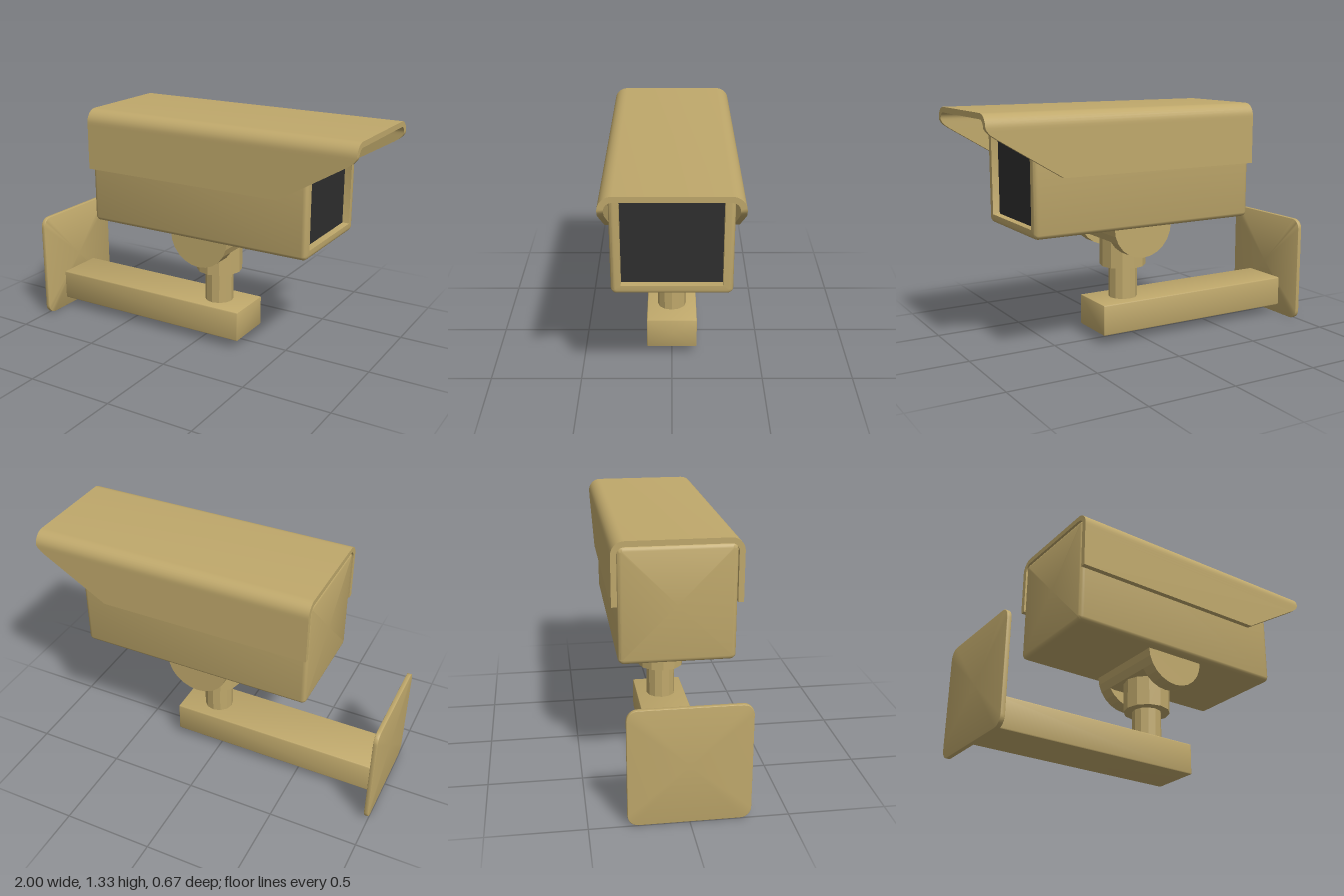
import * as THREE from 'three';
import { toCreasedNormals } from 'three/addons/utils/BufferGeometryUtils.js';

// Collects quads into a geometry whose gentle bends are smooth and hard edges sharp
function fromQuads(quads) {
  const pos = [];
  for (const [a, b, c, d] of quads) pos.push(...a, ...b, ...c, ...a, ...c, ...d);
  const g = new THREE.BufferGeometry();
  g.setAttribute('position', new THREE.Float32BufferAttribute(pos, 3));
  return toCreasedNormals(g, 0.6);
}

// Rounded rectangle ring in the plane x
function ring(x, cy, hy, hz, r) {
  const pts = [], seg = 6;
  for (let c = 0; c < 4; c++) {
    const sy = c === 0 || c === 3 ? 1 : -1, sz = c < 2 ? 1 : -1;
    for (let i = 0; i <= seg; i++) {
      const a = (c + i / seg) * Math.PI / 2;
      pts.push([x, cy + sy * (hy - r) + r * Math.cos(a), sz * (hz - r) + r * Math.sin(a)]);
    }
  }
  return pts;
}

function loft(rings) {
  const quads = [];
  for (let j = 0; j < rings.length - 1; j++) {
    const b = rings[j], f = rings[j + 1], n = b.length;
    for (let k = 0; k < n; k++) {
      const m = (k + 1) % n;
      quads.push([b[k], b[m], f[m], f[k]]);
    }
  }
  return fromQuads(quads);
}

// Block along x with rounded corners r and end bevels e; an optional recess is cut into the front
function block(x0, x1, y0, y1, hz, r, e, recess) {
  const cy = (y0 + y1) / 2, hy = (y1 - y0) / 2, steps = 4, rings = [ring(x0, cy, 0, 0, 0)];
  const at = (x, inset) => ring(x, cy, hy - inset, hz - inset, r - inset);
  for (let i = 0; i <= steps; i++) {
    const a = i / steps * Math.PI / 2;
    rings.push(at(x0 + e * (1 - Math.cos(a)), e * (1 - Math.sin(a))));
  }
  for (let i = steps; i >= 0; i--) {
    const a = i / steps * Math.PI / 2;
    rings.push(at(x1 - e * (1 - Math.cos(a)), e * (1 - Math.sin(a))));
  }
  let xe = x1;
  if (recess) {
    xe = x1 - recess.depth;
    rings.push(ring(x1, cy, recess.hy, recess.hz, 0.001), ring(xe, cy, recess.hy, recess.hz, 0.001));
  }
  rings.push(ring(xe, cy, 0, 0, 0));
  return loft(rings);
}

// Folded sunshade: paired outer and inner profile points, front edge cut back by height
function hoodGeometry() {
  const back = -0.59, top = 1.325, hz = 0.335, t = 0.03, r = 0.07;
  const cut = [[0.99, 0.59], [1.205, 0.95], [1.222, 0.975], [1.24, 0.992], [1.255, 1]];
  const half = cut.map(([y, x]) => ({ o: [y, hz], i: [y, hz - t], x }));
  for (let k = 1; k <= 8; k++) {
    const a = k / 8 * Math.PI / 2, s = Math.sin(a), c = Math.cos(a);
    const p = q => [top - r + q * s, hz - r + q * c];
    half.push({ o: p(r), i: p(r - t), x: 1 });
  }
  const flip = ([y, z]) => [y, -z];
  const path = [...half, ...half.slice().reverse().map(p => ({ o: flip(p.o), i: flip(p.i), x: p.x }))];
  const pts = path.map(p => ({
    ob: [back, ...p.o], of: [p.x, ...p.o], ib: [back, ...p.i], if: [p.x, ...p.i],
  }));
  const quads = [];
  for (let k = 0; k < pts.length - 1; k++) {
    const a = pts[k], b = pts[k + 1];
    quads.push([a.ob, a.of, b.of, b.ob], [a.ib, b.ib, b.if, a.if]);
    quads.push([a.of, a.if, b.if, b.of], [a.ob, b.ob, b.ib, a.ib]);
  }
  const s = pts[0], e = pts[pts.length - 1];
  quads.push([s.ob, s.ib, s.if, s.of], [e.ob, e.of, e.if, e.ib]);
  return fromQuads(quads);
}

// Half disc hanging below its centre, optionally trimmed flat at a floor
function halfDisc(r, depth, floor = -r) {
  const pts = [];
  for (let i = 0; i <= 12; i++) {
    const a = Math.PI * (1 + i / 12);
    pts.push(new THREE.Vector2(r * Math.cos(a), Math.max(r * Math.sin(a), floor)));
  }
  const g = new THREE.ExtrudeGeometry(new THREE.Shape(pts), { depth, bevelEnabled: false });
  return g.translate(0, 0, -depth / 2);
}

function facetedCylinder(r, h) {
  const g = new THREE.CylinderGeometry(r, r, h, 12).toNonIndexed();
  g.computeVertexNormals();
  return g;
}

export function createModel() {
  const model = new THREE.Group();
  model.name = 'securityCamera';
  const tan = new THREE.MeshStandardMaterial({ color: 0xbfa86b });
  tan.name = 'tan metal';
  const dark = new THREE.MeshStandardMaterial({ color: 0x2e2e2e });
  dark.name = 'dark glass';

  const add = (name, geometry, material, x = 0, y = 0, z = 0) => {
    const mesh = new THREE.Mesh(geometry, material);
    mesh.name = name;
    mesh.position.set(x, y, z);
    model.add(mesh);
  };

  // Wall mount
  add('wallPlate', block(-1, -0.976, 0, 0.617, 0.308, 0.055, 0.003), tan);
  add('arm', block(-0.98, 0.262, 0.054, 0.228, 0.142, 0.006, 0.005), tan);

  // Swivel post
  add('neck', facetedCylinder(0.082, 0.21), tan, 0.062, 0.32);
  add('hub', facetedCylinder(0.131, 0.18), tan, 0.062, 0.505);

  // Tilt bracket
  add('bracketBridge', halfDisc(0.178, 0.33, -0.095), tan, 0.075, 0.68);
  for (const s of [1, -1]) {
    add(s > 0 ? 'leftBracketEar' : 'rightBracketEar', halfDisc(0.178, 0.088), tan, 0.075, 0.68, s * 0.205);
  }

  // Housing with recessed window
  const recess = { hy: 0.26, hz: 0.254, depth: 0.045 };
  add('housing', block(-0.588, 0.74, 0.678, 1.295, 0.305, 0.032, 0.024, recess), tan);
  add('window', new THREE.BoxGeometry(0.006, 0.519, 0.507), dark, 0.698, 0.9865);

  // Sunshade
  add('hood', hoodGeometry(), tan);
  return model;
}
